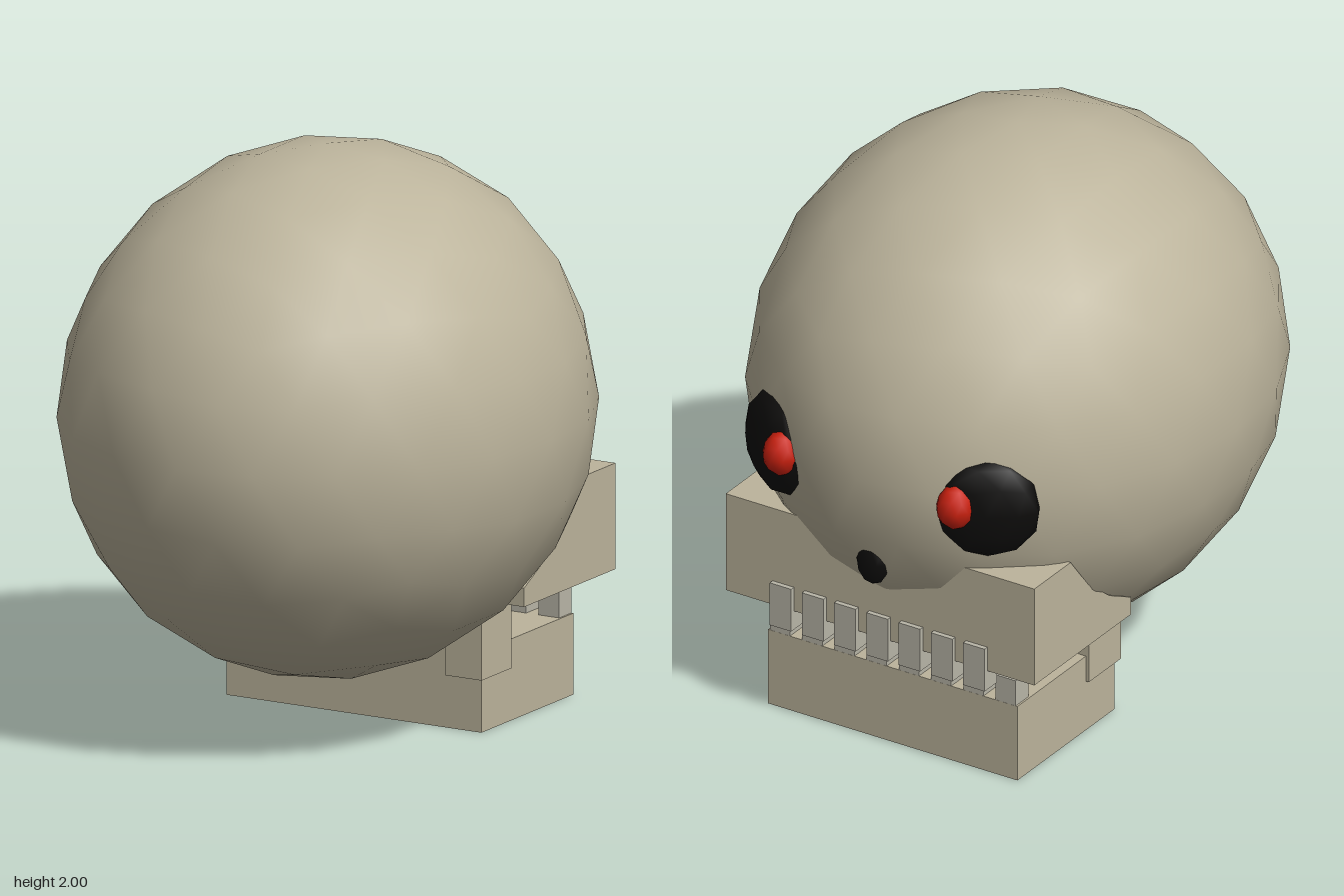
import * as THREE from 'three';

const mat = (color) => new THREE.MeshStandardMaterial({ color });

export function createModel() {
  const model = new THREE.Group();
  const bone = mat(0xbcb49c), enamel = mat(0xb9b6a8), black = mat(0x0d0c0b), red = mat(0xc8200f);

  const add = (name, geometry, material, x = 0, y = 0, z = 0, parent = model) => {
    const mesh = new THREE.Mesh(geometry, material);
    mesh.name = name;
    mesh.position.set(x, y, z);
    parent.add(mesh);
    return mesh;
  };

  // Smooth icosphere standing on one vertex, stretched to the given radii
  const ball = (rx, ry, rz, detail) => {
    const g = new THREE.IcosahedronGeometry(1, detail);
    g.rotateX(-Math.atan((1 + Math.sqrt(5)) / 2));
    g.rotateY(Math.PI / 2);
    return g.scale(rx, ry, rz);
  };

  // Side profile given as [z, y] points, extruded across x and centred
  const slab = (points, width) => {
    const shape = new THREE.Shape(points.map(([z, y]) => new THREE.Vector2(-z, y)));
    const g = new THREE.ExtrudeGeometry(shape, { depth: width, bevelEnabled: false });
    return g.translate(0, 0, -width / 2).rotateY(Math.PI / 2);
  };

  // Cranium
  add('cranium', ball(0.872, 0.908, 0.988, 3), bone, 0, 1.092, 0);

  // Eye sockets, glowing pupils and jaw hinges, mirrored
  for (const s of [1, -1]) {
    const side = s > 0 ? 'left' : 'right';
    const socket = add(side + 'EyeSocket', ball(0.18, 0.182, 0.075, 1), black, s * 0.42, 1.04, -0.828);
    socket.rotation.y = -s * 0.49;
    add(side + 'Pupil', ball(0.066, 0.08, 0.07, 1), red, s * 0.345, 1.06, -0.91);
    add(side + 'JawHinge',
      slab([[-0.15, 0.185], [-0.15, 0.38], [-0.22, 0.39], [-0.345, 0.43], [-0.345, 0.185]], 0.14),
      bone, s * 0.437, 0, 0);
  }

  // Nose hole
  add('noseHole', ball(0.06, 0.09, 0.042, 1), black, 0, 0.745, -0.885);

  // Jaws
  add('upperJaw',
    slab([[-0.25, 0.43], [-0.25, 0.495], [-0.38, 0.56], [-0.51, 0.66], [-0.62, 0.795], [-0.842, 0.795], [-0.842, 0.43]], 1.225),
    bone);
  add('lowerJaw', new THREE.BoxGeometry(0.99, 0.28, 0.595), bone, 0, 0.14, -0.467);

  // Teeth: the lower row sits in the gaps of the upper row
  const row = (name, count, size, y, z) => {
    const group = new THREE.Group();
    group.name = name;
    model.add(group);
    const g = new THREE.BoxGeometry(...size);
    for (let i = 0; i < count; i++) {
      add('tooth', g, enamel, (i - (count - 1) / 2) * 0.128, y, z, group);
    }
  };
  row('upperTeeth', 7, [0.085, 0.16, 0.075], 0.44, -0.822);
  row('lowerTeeth', 8, [0.08, 0.11, 0.079], 0.32, -0.7245);

  return model;
}
